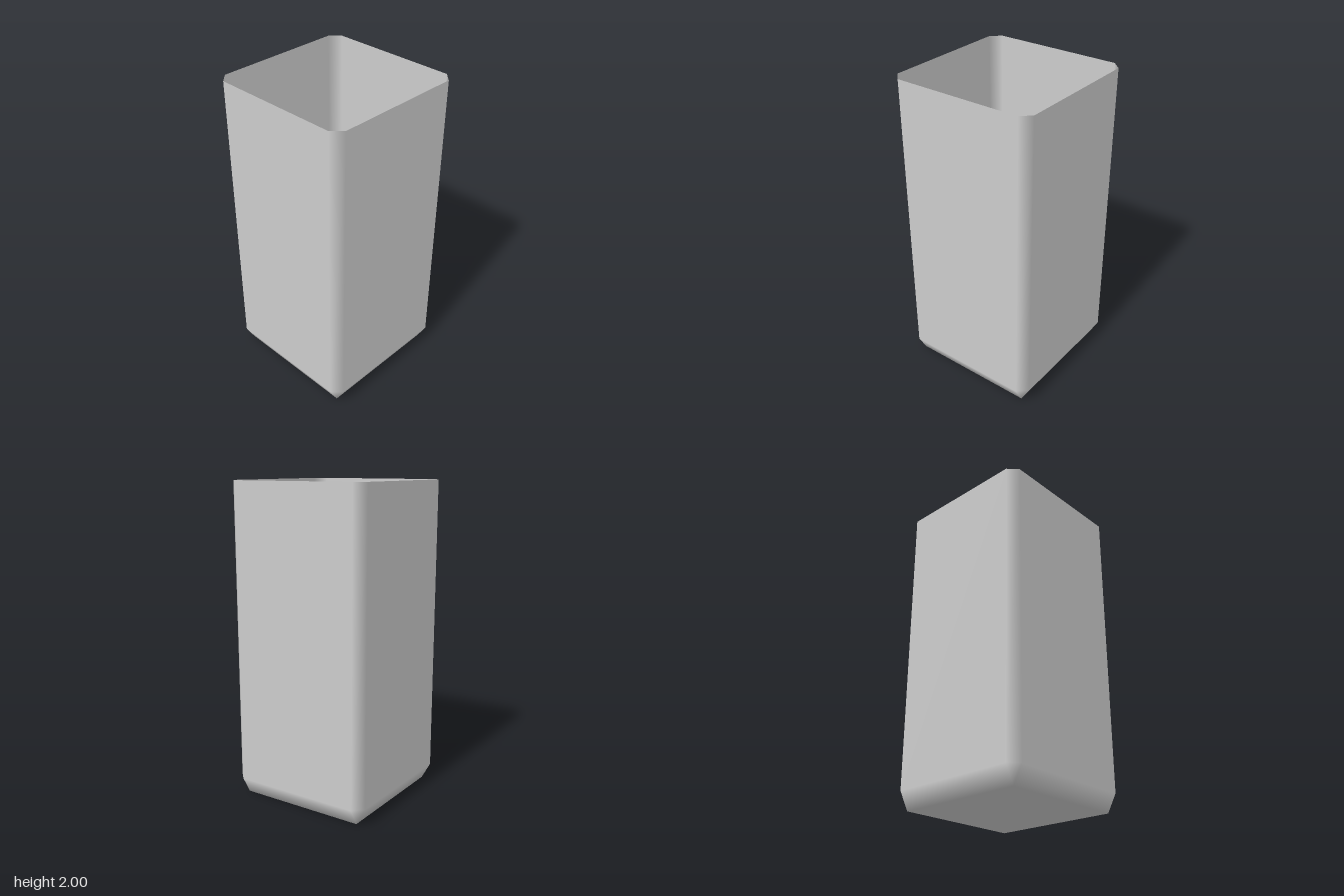
import * as THREE from 'three';

const HALF = 0.476;   // half width across the walls
const FLAT = 0.416;   // half width of each flat panel and of the base
const HEIGHT = 2;
const BEVEL_Y = 0.11; // where the bottom bevel meets the walls

// Open-topped square shell with bevelled corners and a bevelled base.
function shellGeometry() {
  const positions = [], normals = [], index = [];

  // Three rings of eight points: base, top of the bevel, rim.
  // Flat panels keep their own normals, so only the bevels shade softly.
  for (const [y, reach] of [[0, FLAT], [BEVEL_Y, HALF], [HEIGHT, HALF]]) {
    for (let side = 0; side < 4; side++) {
      const a = side * Math.PI / 2, s = Math.sin(a), c = Math.cos(a);
      for (const along of [-FLAT, FLAT]) {
        positions.push(s * reach + c * along, y, c * reach - s * along);
        if (y === 0) normals.push(0, -1, 0);
        else normals.push(s, 0, c);
      }
    }
  }

  // Walls and bevels; the base corners collapse to a point, leaving triangles.
  for (let ring = 0; ring < 2; ring++) {
    for (let i = 0; i < 8; i++) {
      const a = ring * 8 + i, b = ring * 8 + (i + 1) % 8;
      if (ring > 0 || i % 2 === 0) index.push(a, b, b + 8);
      index.push(a, b + 8, a + 8);
    }
  }

  // Base
  index.push(0, 4, 2, 0, 6, 4);

  const geometry = new THREE.BufferGeometry();
  geometry.setAttribute('position', new THREE.Float32BufferAttribute(positions, 3));
  geometry.setAttribute('normal', new THREE.Float32BufferAttribute(normals, 3));
  geometry.setIndex(index);
  return geometry;
}

export function createModel() {
  const group = new THREE.Group();
  group.name = 'openContainer';
  const material = new THREE.MeshStandardMaterial({ color: 0xcccccc, side: THREE.DoubleSide });
  const shell = new THREE.Mesh(shellGeometry(), material);
  shell.name = 'containerShell';
  group.add(shell);
  return group;
}
